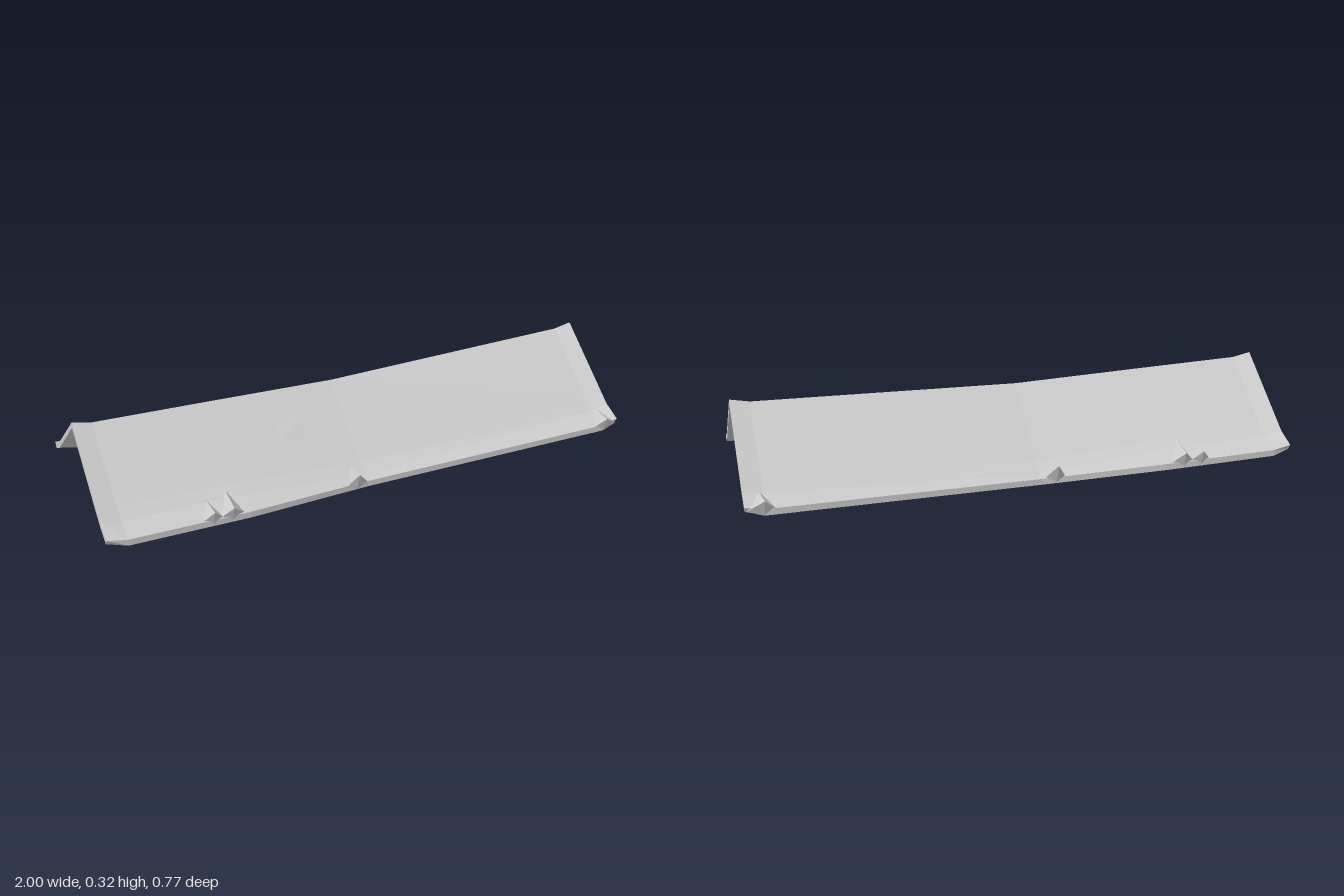
import * as THREE from 'three';
import { ConvexGeometry } from 'three/addons/geometries/ConvexGeometry.js';

const material = new THREE.MeshStandardMaterial({ color: 0xcccccc, flatShading: true, side: THREE.DoubleSide });

// Stations along the ridge: x, thickness, then half-profile [z, y] points:
// ridge, slope, bend, lip top, lip bottom
const stations = [
  [-1, 0.02, [0, 0.318], [0.25, 0.121], [0.29, 0.09], [0.36, 0.06], [0.347, 0.04]],
  [-0.93, 0.02, [0, 0.304], [0.25, 0.106], [0.29, 0.075], [0.367, 0.05], [0.367, 0.027]],
  [-0.5, 0.01, [0, 0.293], [0.25, 0.094], [0.29, 0.068], [0.366, 0.043], [0.366, 0.02]],
  [-0.04, 0.004, [0, 0.28], [0.25, 0.062], [0.295, 0.033], [0.32, 0.022], [0.32, 0]],
  [0.93, 0.02, [0, 0.304], [0.25, 0.106], [0.29, 0.075], [0.367, 0.05], [0.367, 0.027]],
  [1, 0.02, [0, 0.318], [0.25, 0.121], [0.29, 0.09], [0.36, 0.06], [0.347, 0.04]],
];

// Closed section: down the front slope, back along its underside, then the mirrored rear
function section([x, t, ridge, slope, bend, lipTop, lipBottom]) {
  const half = [
    ridge, slope, bend, lipTop, lipBottom,
    [bend[0], bend[1] - t], [slope[0], slope[1] - t * 1.1], [0, ridge[1] - t],
  ];
  const rear = half.slice(1, 7).reverse().map(([z, y]) => [-z, y]);
  return [...half, ...rear].map(([z, y]) => [x, y, z]);
}

function roofGeometry() {
  const loops = stations.map(section);
  const positions = [];
  const quad = (a, b, c, d) => positions.push(...a, ...b, ...c, ...a, ...c, ...d);
  for (let s = 0; s < loops.length - 1; s++) {
    const p = loops[s], q = loops[s + 1], n = p.length;
    for (let i = 0; i < n; i++) {
      const j = (i + 1) % n;
      quad(p[i], p[j], q[j], q[i]);
    }
  }
  // Gable end faces
  const first = loops[0], last = loops[loops.length - 1];
  const caps = [[0, 1, 6, 7], [1, 2, 5, 6], [2, 3, 4, 5], [7, 8, 13, 0], [8, 9, 12, 13], [9, 10, 11, 12]];
  for (const [a, b, c, d] of caps) {
    quad(last[a], last[b], last[c], last[d]);
    quad(first[d], first[c], first[b], first[a]);
  }
  const geometry = new THREE.BufferGeometry();
  geometry.setAttribute('position', new THREE.Float32BufferAttribute(positions, 3));
  geometry.computeVertexNormals();
  return geometry;
}

// Faceted spike straddling the eave; side = 1 front, -1 rear
function spike({ left, right, tip, innerX = tip, z, base, top, innerTop }, side) {
  const points = [
    [tip, top, z + 0.02],
    [innerX, innerTop, z - 0.073],
    [left, base + 0.02, z - 0.005],
    [right, base + 0.02, z - 0.005],
    [tip, base, z],
  ].map(([x, y, pz]) => new THREE.Vector3(x, y, pz * side));
  return new THREE.Mesh(new ConvexGeometry(points), material);
}

export function createModel() {
  const group = new THREE.Group();
  const roof = new THREE.Mesh(roofGeometry(), material);
  roof.name = 'roofShell';
  group.add(roof);

  const spikes = [
    { left: -0.67, right: -0.6, tip: -0.635, z: 0.365, base: 0.025, top: 0.085, innerTop: 0.08 },
    { left: -0.605, right: -0.525, tip: -0.567, z: 0.365, base: 0.025, top: 0.085, innerTop: 0.105 },
    { left: -0.122, right: -0.05, tip: -0.09, innerX: -0.085, z: 0.338, base: 0.012, top: 0.08, innerTop: 0.06 },
    { left: 0.895, right: 0.995, tip: 0.935, innerX: 0.945, z: 0.365, base: 0.025, top: 0.085, innerTop: 0.083 },
  ];
  for (const side of [1, -1]) {
    spikes.forEach((data, i) => {
      const mesh = spike(data, side);
      mesh.name = `${side > 0 ? 'front' : 'rear'}EaveSpike${i + 1}`;
      group.add(mesh);
    });
  }
  return group;
}
